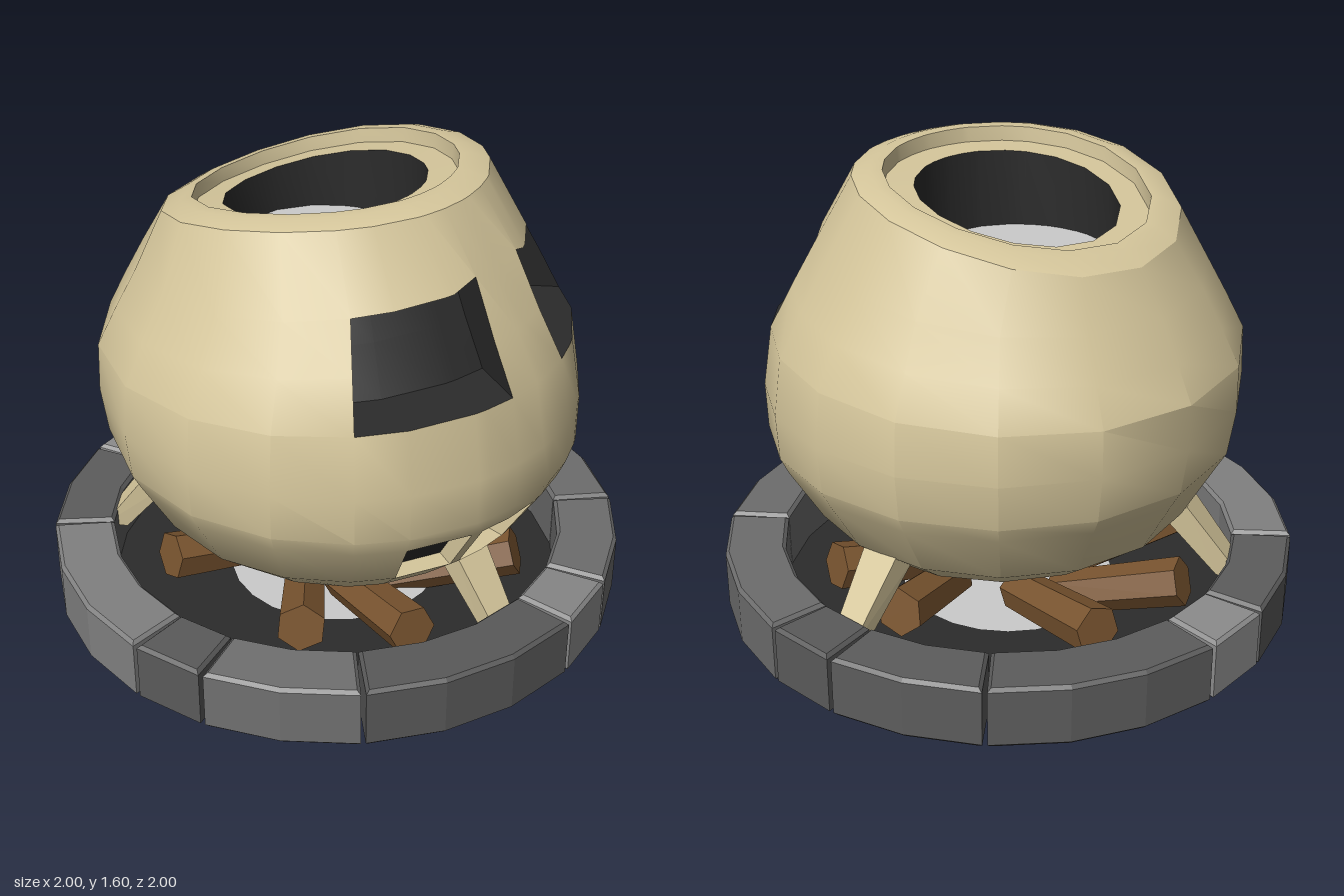
import * as THREE from 'three';
import { toCreasedNormals } from 'three/addons/utils/BufferGeometryUtils.js';

const RAD = Math.PI / 180;
const FACE = 30; // heading of the face, degrees from +x towards +z

const mat = (color, extra = {}) => new THREE.MeshStandardMaterial({ color, ...extra });
const cream = mat(0xd6c79c);
const creamThin = mat(0xd6c79c, { side: THREE.DoubleSide });
const dark = mat(0x2b2b2b, { side: THREE.DoubleSide });
const grey = mat(0xcccccc, { side: THREE.DoubleSide });

function add(parent, name, geometry, material) {
  const mesh = new THREE.Mesh(geometry, material);
  mesh.name = name;
  parent.add(mesh);
  return mesh;
}

// Collects quads given as four corners, counter-clockwise from outside
function quadGeometry(quads, crease = 0.45) {
  const pos = [];
  for (const [a, b, c, d] of quads) for (const p of [a, b, c, a, c, d]) pos.push(p.x, p.y, p.z);
  const g = new THREE.BufferGeometry();
  g.setAttribute('position', new THREE.Float32BufferAttribute(pos, 3));
  g.computeVertexNormals();
  return toCreasedNormals(g, crease);
}

// Pot outline: radius and height at the back, then at the face
const ROWS = [
  [0, 0.29, 0, 0.28], [0.52, 0.34, 0.57, 0.32], [0.63, 0.42, 0.7, 0.44], [0.74, 0.62, 0.81, 0.62],
  [0.775, 0.68, 0.835, 0.68], [0.8, 0.84, 0.835, 0.84], [0.8, 1.0, 0.795, 1.06],
  [0.74, 1.12, 0.71, 1.22], [0.67, 1.25, 0.62, 1.38],
];
// Rim: radius, height above the rim curve
const LIP = [[0.535, 0], [0.475, 0.02], [0.435, 0.02], [0.43, -0.03], [0.335, -0.03]];

const half = [2, 11, 19, 22, 38, 50, 68, 88, 110, 133, 156];
const COLS = [...half.map((a) => -a).reverse(), ...half, 180, 202 + 2]; // last column closes the loop
const col = (a) => COLS.indexOf(a);

function bodyPoint(row, rel) {
  const t = (1 + Math.cos(rel * RAD)) / 2, a = (rel + FACE) * RAD;
  const [rb, yb, rf, yf] = row;
  const r = rb + (rf - rb) * t;
  let y = yb + (yf - yb) * t;
  if (row === ROWS[8] && Math.abs(rel) === 11) y += 0.03; // raised inner brow
  return new THREE.Vector3(r * Math.cos(a), y, r * Math.sin(a));
}

// The rim tips down towards the back
function rimPoint([r, dy], rel) {
  const a = (rel + FACE) * RAD;
  const s = r * Math.cos(rel * RAD);
  return new THREE.Vector3(r * Math.cos(a) - 0.04, 1.54 + 0.18 * s - 0.16 * s * s + dy, r * Math.sin(a) - 0.03);
}

function gridQuads(grid, skip = () => false) {
  const quads = [];
  for (let i = 0; i < grid.length - 1; i++) {
    for (let j = 0; j < grid[i].length - 1; j++) {
      if (!skip(i, j)) quads.push([grid[i][j], grid[i + 1][j], grid[i + 1][j + 1], grid[i][j + 1]]);
    }
  }
  return quads;
}

// A recess pushed straight in behind an opening of the grid
function addPocket(group, name, grid, { i0, i1, j0, j1 }, depth, wallMat) {
  const heading = ((COLS[j0] + COLS[j1]) / 2 + FACE) * RAD;
  const push = new THREE.Vector3(-Math.cos(heading), 0, -Math.sin(heading)).multiplyScalar(depth);
  const front = grid.slice(i0, i1 + 1).map((row) => row.slice(j0, j1 + 1));
  const back = front.map((row) => row.map((p) => p.clone().add(push)));
  const n = front.length - 1, m = front[0].length - 1;
  const loop = [];
  for (let j = 0; j < m; j++) loop.push([0, j]);
  for (let i = 0; i < n; i++) loop.push([i, m]);
  for (let j = m; j > 0; j--) loop.push([n, j]);
  for (let i = n; i > 0; i--) loop.push([i, 0]);
  const walls = loop.map(([i, j], k) => {
    const [p, q] = loop[(k + 1) % loop.length];
    return [front[i][j], front[p][q], back[p][q], back[i][j]];
  });
  add(group, name + 'Back', quadGeometry(gridQuads(back)), dark);
  add(group, name + 'Walls', quadGeometry(walls), wallMat);
}

function makePot() {
  const pot = new THREE.Group();
  pot.name = 'pot';
  const cols = COLS.map((a) => (a === 204 ? -156 : a));
  const grid = [
    ...ROWS.map((row) => cols.map((a) => bodyPoint(row, a))),
    ...LIP.map((row) => cols.map((a) => rimPoint(row, a))),
  ];

  // Openings: two eyes and four mouth slots
  const eyes = [[-50, -11], [11, 50]].map(([a, b]) => ({ i0: 6, i1: 8, j0: col(a), j1: col(b) }));
  const slots = [[-38, -22], [-19, -2], [2, 19], [22, 38]]
    .map(([a, b]) => ({ i0: 2, i1: 3, j0: col(a), j1: col(b) }));
  const openings = [...eyes, ...slots];
  const skip = (i, j) => openings.some((o) => i >= o.i0 && i < o.i1 && j >= o.j0 && j < o.j1);
  add(pot, 'potShell', quadGeometry(gridQuads(grid, skip)), cream);
  eyes.forEach((o) => addPocket(pot, 'eye', grid, o, 0.2, dark));
  slots.forEach((o) => addPocket(pot, 'mouthSlot', grid, o, 0.07, creamThin));

  // Dark throat and the surface of the contents
  const top = grid[grid.length - 1];
  const bottom = top.map((p) => new THREE.Vector3(p.x, 1.27, p.z));
  add(pot, 'throat', quadGeometry(gridQuads([top, bottom])), dark);
  const contents = add(pot, 'contents', new THREE.CircleGeometry(0.335, 20), grey);
  contents.rotation.x = -Math.PI / 2;
  contents.position.set(-0.04, 1.28, -0.03);

  // Three tapered legs splayed out to the stones
  const legShape = new THREE.BoxGeometry(0.09, 1, 0.14).toNonIndexed();
  const lp = legShape.attributes.position;
  for (let i = 0; i < lp.count; i++) {
    const up = lp.getY(i) > 0;
    const r = (up ? 0.6 : 0.8) + lp.getX(i);
    lp.setXYZ(i, r, up ? 0.42 + lp.getX(i) * 0.4 : 0.17, lp.getZ(i) * (up ? 1 : 0.65));
  }
  legShape.computeVertexNormals();
  for (const a of [41, -65, 178]) add(pot, 'leg', legShape, cream).rotation.y = -a * RAD;
  return pot;
}

// One bevelled curved stone between two headings
function stoneGeometry(a0, a1) {
  const bevel = 0.012, n = Math.max(1, Math.round((a1 - a0) / 15));
  const arc = (r) => Array.from({ length: n + 1 }, (_, k) => {
    const a = -(a0 + 1.1 + ((a1 - a0 - 2.2) * k) / n) * RAD;
    return new THREE.Vector2(r * Math.cos(a), r * Math.sin(a));
  });
  const shape = new THREE.Shape([...arc(0.99), ...arc(0.805).reverse()]);
  const g = new THREE.ExtrudeGeometry(shape, {
    depth: 0.22 - 2 * bevel, bevelThickness: bevel, bevelSize: bevel, bevelSegments: 1,
  });
  return g.rotateX(-Math.PI / 2).translate(0, 0.03 + bevel, 0);
}

export function createModel() {
  const model = new THREE.Group();
  model.name = 'cookingPotOnFirePit';
  model.add(makePot());

  // Stone ring: medium, short and long stones repeated in each quarter
  const shades = [0x5c5c5c, 0x5a5a5a, 0x6c6c6c, 0x6c6c6c, 0x858585, 0x595959,
    0x707070, 0x5a5a5a, 0x808080, 0x5c5c5c, 0x8c8c8c, 0x5c5c5c];
  const ring = new THREE.Group();
  ring.name = 'stoneRing';
  let heading = -101;
  shades.forEach((shade, k) => {
    const span = [30, 15, 45][k % 3];
    add(ring, 'stone', stoneGeometry(heading, heading + span), mat(shade, { flatShading: true }));
    heading += span;
  });
  model.add(ring);

  // Fire bed
  const floor = add(model, 'ashFloor', new THREE.RingGeometry(0.38, 0.83, 24), dark);
  const ash = add(model, 'ashCentre', new THREE.CircleGeometry(0.38, 24), grey);
  for (const disc of [floor, ash]) {
    disc.rotation.x = -Math.PI / 2;
    disc.position.y = 0.045;
  }

  // Logs leaning in towards the centre
  const bark = mat(0x7a5530, { flatShading: true });
  const logGeometry = new THREE.CylinderGeometry(0.085, 0.075, 1, 6);
  const up = new THREE.Vector3(0, 1, 0);
  for (let k = 0; k < 8; k++) {
    const a = (k * 45 + 12 + 8 * Math.sin(k * 2.3)) * RAD;
    const wobble = 0.04 * Math.sin(k * 1.7);
    const outer = new THREE.Vector3(Math.cos(a), 0, Math.sin(a)).multiplyScalar(0.66 + wobble).setY(0.215);
    const inner = new THREE.Vector3(Math.cos(a + 0.3), 0, Math.sin(a + 0.3)).multiplyScalar(0.24).setY(k % 4 ? 0.13 : 0.07);
    const log = add(model, 'log', logGeometry, bark);
    log.position.copy(outer).lerp(inner, 0.5);
    log.scale.y = outer.distanceTo(inner);
    log.quaternion.setFromUnitVectors(up, outer.sub(inner).normalize());
  }
  return model;
}
